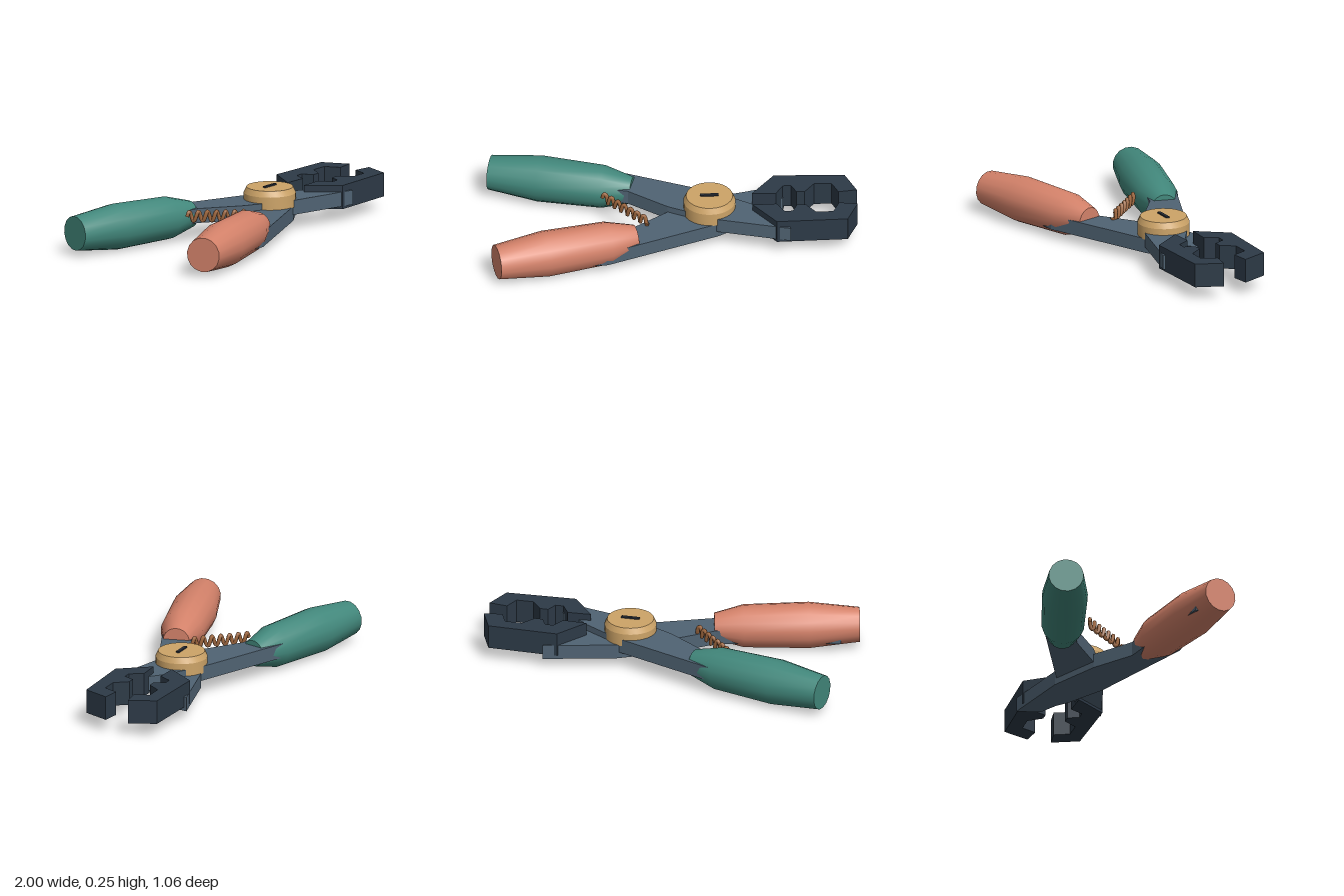
import * as THREE from 'three';
import { toCreasedNormals } from 'three/addons/utils/BufferGeometryUtils.js';

const mat = (name, color) => {
  const m = new THREE.MeshStandardMaterial({ color });
  m.name = name;
  return m;
};

// Plate from a plan outline of [x, z] points, standing between heights y0 and y1
function plate(points, side, y0, y1) {
  const shape = new THREE.Shape(points.map(([x, z]) => new THREE.Vector2(x, -z * side)));
  const geo = new THREE.ExtrudeGeometry(shape, { depth: y1 - y0, bevelEnabled: false });
  geo.rotateX(-Math.PI / 2);
  geo.translate(0, y0, 0);
  return geo;
}

// Turned solid from [radius, height] points
function turned(points, sides, crease) {
  const geo = new THREE.LatheGeometry(points.map(([r, y]) => new THREE.Vector2(r, y)), sides);
  return toCreasedNormals(geo, crease);
}

// Lever running from the grip, across the pivot, to the opposite jaw
const ARM = [
  [-0.9, 0.32], [-0.24, 0.157], [-0.03, 0], [0.24, -0.138], [0.63, -0.24],
  [0.6, -0.11], [0.5, -0.055], [0.44, 0], [0.24, 0.128], [-0.37, 0.385], [-0.88, 0.43],
];

// Jaw with a small and a large notch, on the +z side
const JAW = [
  [0.43, 0.055], [0.555, 0.225], [0.94, 0.213], [1, 0.067], [0.9, 0.052],
  [0.865, 0.135], [0.77, 0.135], [0.717, 0.062], [0.672, 0.062],
  [0.645, 0.122], [0.6, 0.122], [0.56, 0.05],
];

// Grip profile from the far end to the pivot end
const GRIP = [[0, 0], [0.095, 0], [0.126, 0.276], [0.117, 0.63], [0.073, 0.79], [0, 0.79]];

export function createModel() {
  const group = new THREE.Group();
  const steel = mat('steel blue', 0x506373);
  const dark = mat('dark steel', 0x2d3a47);
  const coral = mat('coral grip', 0xd4826a);
  const green = mat('green grip', 0x42887c);
  const brass = mat('brass', 0xcda468);
  const copper = mat('copper', 0xa0683f);
  const black = mat('slot black', 0x272c35);

  const add = (name, geo, material) => {
    const mesh = new THREE.Mesh(geo, material);
    mesh.name = name;
    group.add(mesh);
    return mesh;
  };

  // Mirrored levers, jaws and grips; one lever lies above the other
  for (const side of [1, -1]) {
    const label = side > 0 ? 'front' : 'back';
    const y0 = side > 0 ? 0.053 : 0.088;
    add(label + 'Lever', plate(ARM, side, y0, y0 + 0.08), steel);
    add(label + 'Jaw', plate(JAW, side, 0.073, 0.205), dark);

    const grip = add(label + 'Grip', turned(GRIP, 16, 0.6), side > 0 ? coral : green);
    const axis = new THREE.Vector3(0.763, 0, -0.205 * side).normalize();
    grip.quaternion.setFromUnitVectors(new THREE.Vector3(0, 1, 0), axis);
    grip.position.set(-0.977, 0.125, 0.437 * side);
  }

  // Pivot cap with chamfered rim and screwdriver slot
  const cap = add('pivotCap',
    turned([[0, 0.13], [0.142, 0.13], [0.142, 0.203], [0.127, 0.235], [0, 0.235]], 28, 0.4), brass);
  cap.position.x = 0.197;
  const slot = add('pivotSlot', new THREE.BoxGeometry(0.1, 0.009, 0.018), black);
  slot.position.set(0.197, 0.2385, 0);

  // Narrow coiled spring between the levers
  const start = new THREE.Vector3(-0.375, 0.152, -0.13);
  const end = new THREE.Vector3(-0.14, 0.152, 0.125);
  const across = new THREE.Vector3(-0.73, 0, 0.68);
  const coil = [];
  for (let i = 0; i <= 84; i++) {
    const a = (i / 12) * Math.PI * 2;
    const p = start.clone().lerp(end, i / 84).addScaledVector(across, 0.006 * Math.cos(a));
    p.y += 0.026 * Math.sin(a);
    coil.push(p);
  }
  add('spring', new THREE.TubeGeometry(new THREE.CatmullRomCurve3(coil), 168, 0.011, 6), copper);

  return group;
}
